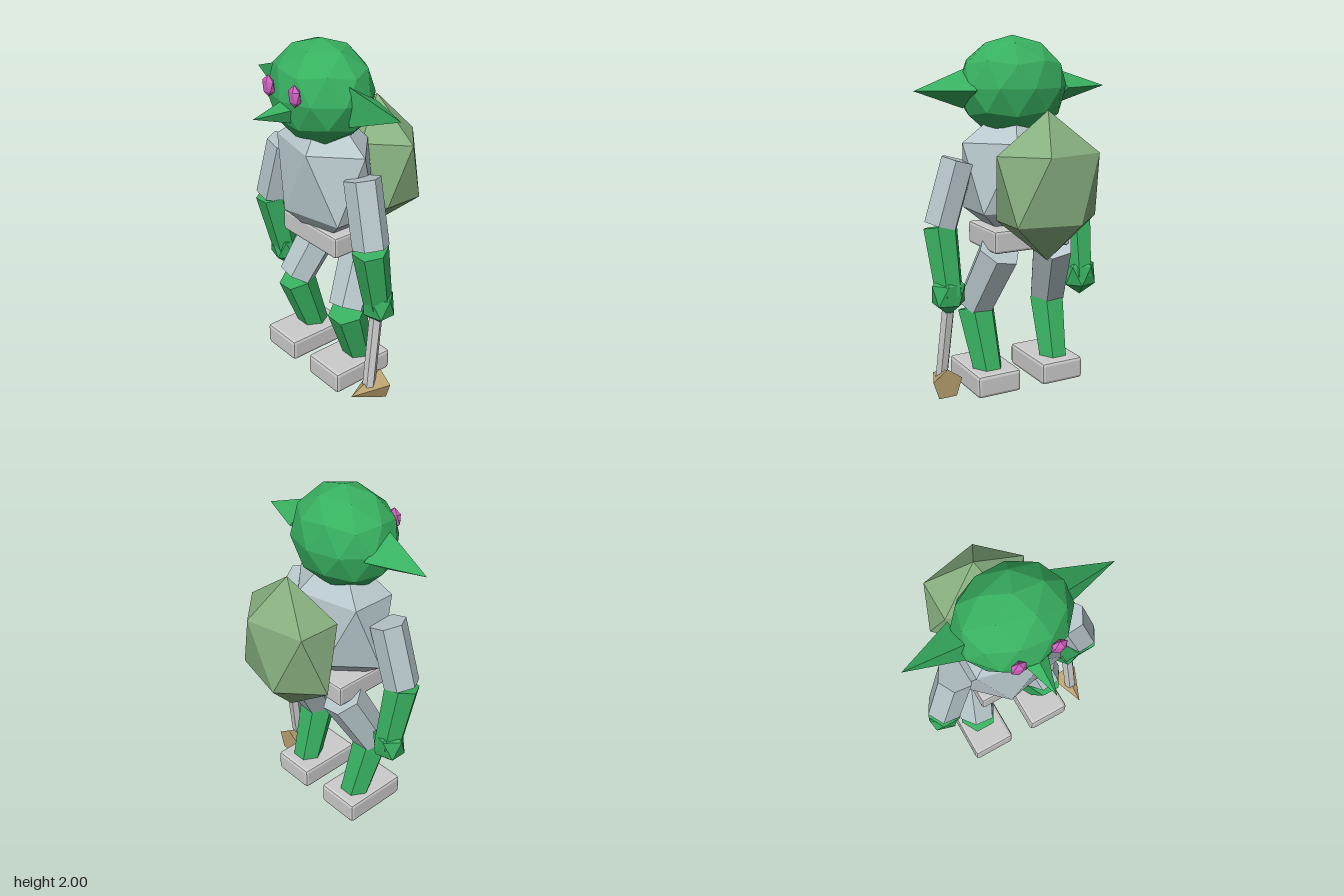
import * as THREE from 'three';
import { RoundedBoxGeometry } from 'three/addons/geometries/RoundedBoxGeometry.js';

const material = (color) => new THREE.MeshStandardMaterial({ color, flatShading: true });
const skin = material(0x38b060);
const cloth = material(0xb8c8cc);
const grey = material(0xcccccc);
const eyeColor = material(0xd060c0);
const sackColor = material(0x88b080);
const stone = material(0xb8a070);

export function createModel() {
  const model = new THREE.Group();
  model.name = 'goblin';

  function add(name, geometry, mat, x = 0, y = 0, z = 0) {
    const mesh = new THREE.Mesh(geometry, mat);
    mesh.name = name;
    mesh.position.set(x, y, z);
    model.add(mesh);
    return mesh;
  }

  // Icosphere with a vertex at each pole, stretched along the axes
  function ball(name, mat, [x, y, z], [rx, ry, rz], detail = 0, turn = 0) {
    const geometry = new THREE.IcosahedronGeometry(1, detail);
    geometry.rotateX(-Math.atan((1 + Math.sqrt(5)) / 2));
    geometry.rotateY(Math.PI / 2 + turn);
    geometry.scale(rx, ry, rz);
    return add(name, geometry, mat, x, y, z);
  }

  // Six-sided tapered limb running between two points
  function limb(name, mat, from, to, rFrom, rTo) {
    const a = new THREE.Vector3(...from);
    const b = new THREE.Vector3(...to);
    const axis = a.clone().sub(b);
    const geometry = new THREE.CylinderGeometry(rFrom, rTo, axis.length(), 6);
    geometry.rotateY(Math.PI / 6);
    const middle = a.clone().add(b).multiplyScalar(0.5);
    const mesh = add(name, geometry, mat, middle.x, middle.y, middle.z);
    mesh.quaternion.setFromUnitVectors(new THREE.Vector3(0, 1, 0), axis.normalize());
    return mesh;
  }

  // Cone pointing along +z with one base corner at the top
  function frontCone(radius, length, sides) {
    const geometry = new THREE.ConeGeometry(radius, length, sides);
    geometry.rotateY(Math.PI);
    return geometry.rotateX(Math.PI / 2);
  }

  // Head, body and sack
  ball('head', skin, [0, 1.72, 0.075], [0.315, 0.28, 0.265], 1);
  ball('torso', cloth, [0, 1.24, 0.045], [0.36, 0.425, 0.25]);
  ball('backSack', sackColor, [0, 1.22, -0.32], [0.335, 0.4, 0.229]);
  add('belt', new RoundedBoxGeometry(0.47, 0.125, 0.34, 1, 0.015), grey, 0, 0.907, 0);
  add('nose', frontCone(0.068, 0.2, 5), skin, 0, 1.66, 0.405);

  for (const s of [1, -1]) {
    const side = s > 0 ? 'left' : 'right';

    // Face
    ball(side + 'Eye', eyeColor, [s * 0.11, 1.77, 0.328], [0.046, 0.06, 0.027]);
    const ear = new THREE.ConeGeometry(0.122, 0.31, 3);
    ear.rotateY(Math.PI); // one base corner faces the back
    ear.rotateZ(-s * Math.PI / 2);
    add(side + 'Ear', ear, skin, s * 0.435, 1.713, 0.06);

    // Arm
    limb(side + 'UpperArm', cloth, [s * 0.335, 1.335, 0.075], [s * 0.435, 0.98, 0.095], 0.1, 0.1);
    limb(side + 'Forearm', skin, [s * 0.436, 0.97, 0.1], [s * 0.422, 0.59, 0.02], 0.1, 0.08);
    ball(side + 'Hand', skin, [s * 0.427, 0.605, 0.025], [0.108, 0.125, 0.092], 0,
      s > 0 ? 0 : Math.PI);

    // Leg
    limb(side + 'Thigh', cloth, [s * 0.168, 0.84, -0.09], [s * 0.235, 0.51, 0.08], 0.123, 0.11);
    limb(side + 'Shin', skin, [s * 0.233, 0.485, 0.085], [s * 0.213, 0.12, -0.035], 0.11, 0.086);
    add(side + 'Foot', new RoundedBoxGeometry(0.265, 0.13, 0.4, 1, 0.02), grey,
      s * 0.2025, 0.095, 0.037);
  }

  // Hammer held in the left hand
  limb('hammerHandle', grey, [0.42, 0.6, 0.026], [0.447, 0.09, 0.1], 0.037, 0.037);
  add('hammerHead', frontCone(0.092, 0.215, 5), stone, 0.445, 0.075, 0.12);

  return model;
}
